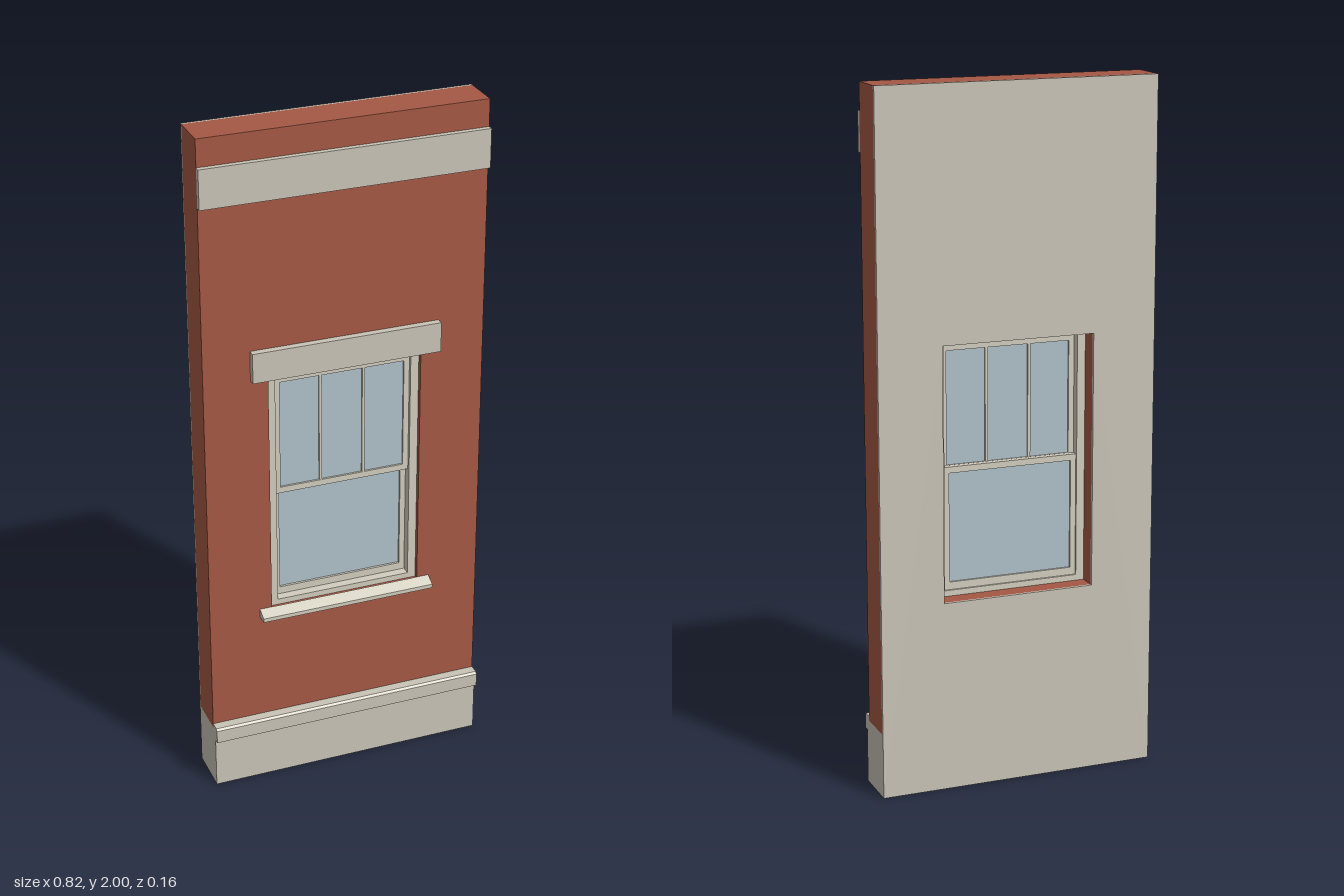
import * as THREE from 'three';

const mat = (name, color) => {
  const m = new THREE.MeshStandardMaterial({ color });
  m.name = name;
  return m;
};

export function createModel() {
  const model = new THREE.Group();
  model.name = 'wallPanelWithWindow';
  const brick = mat('brick red', 0xa55845);
  const stone = mat('limestone', 0xc9c4b7);
  const paint = mat('window paint', 0xd2cdbe);
  const glass = mat('glass', 0xafc0c9);

  const add = (parent, name, geometry, material) => {
    const mesh = new THREE.Mesh(geometry, material);
    mesh.name = name;
    parent.add(mesh);
    return mesh;
  };

  // Box given by its limits on each axis
  const box = (parent, name, material, [x0, x1], [y0, y1], [z0, z1]) => {
    const g = new THREE.BoxGeometry(x1 - x0, y1 - y0, z1 - z0);
    g.translate((x0 + x1) / 2, (y0 + y1) / 2, (z0 + z1) / 2);
    return add(parent, name, g, material);
  };

  const corners = (x0, x1, y0, y1) => [[x0, y0], [x1, y0], [x1, y1], [x0, y1]]
    .map(([x, y]) => new THREE.Vector2(x, y));

  // Rectangular slab with a rectangular opening
  const ring = (parent, name, material, outer, inner, [z0, z1]) => {
    const shape = new THREE.Shape(corners(...outer));
    shape.holes.push(new THREE.Path(corners(...inner).reverse()));
    const g = new THREE.ExtrudeGeometry(shape, { depth: z1 - z0, bevelEnabled: false });
    g.translate(0, 0, z0);
    return add(parent, name, g, material);
  };

  // Side profile of [z, y] points swept along x
  const molding = (parent, name, material, halfWidth, profile) => {
    const shape = new THREE.Shape(profile.map(([z, y]) => new THREE.Vector2(-z, y)));
    const g = new THREE.ExtrudeGeometry(shape, { depth: halfWidth * 2, bevelEnabled: false });
    g.translate(0, 0, -halfWidth);
    g.rotateY(Math.PI / 2);
    // the shape's x axis now runs along -z, so the profile lands on its own z
    return add(parent, name, g, material);
  };

  const W = 0.41;
  const opening = [-0.224, 0.224, 0.555, 1.29];

  // Wall layers
  ring(model, 'brickWall', brick, [-W, W, 0.19, 2], opening, [-0.07, 0.044]);
  ring(model, 'innerLining', stone, [-W, W, 0, 2], opening, [-0.078, -0.07]);

  // Stone base, water table and band
  box(model, 'stoneBase', stone, [-W, W], [0, 0.19], [-0.07, 0.062]);
  molding(model, 'waterTable', stone, W,
    [[0.044, 0.157], [0.078, 0.157], [0.078, 0.197], [0.072, 0.203], [0.044, 0.203]]);
  box(model, 'stoneBand', stone, [-W, W], [1.81, 1.922], [0.044, 0.06]);

  // Lintel and sill
  box(model, 'lintel', stone, [-0.275, 0.275], [1.29, 1.378], [0.044, 0.065]);
  molding(model, 'sill', paint, 0.26,
    [[0.044, 0.533], [0.075, 0.533], [0.075, 0.545], [0.044, 0.56]]);

  // Window set in the opening
  const win = new THREE.Group();
  win.name = 'window';
  model.add(win);
  ring(win, 'frame', paint, opening, [-0.2, 0.2, 0.572, 1.277], [-0.02, 0.03]);

  // Upper sash in front, lower sash behind
  ring(win, 'upperSash', paint, [-0.2, 0.2, 0.912, 1.277], [-0.184, 0.184, 0.93, 1.257], [0.004, 0.02]);
  ring(win, 'lowerSash', paint, [-0.2, 0.2, 0.572, 0.93], [-0.184, 0.184, 0.594, 0.912], [-0.014, 0.003]);
  box(win, 'upperGlass', glass, [-0.185, 0.185], [0.929, 1.258], [0.01, 0.014]);
  box(win, 'lowerGlass', glass, [-0.185, 0.185], [0.593, 0.913], [-0.008, -0.004]);
  for (const x of [-0.064, 0.064]) {
    box(win, 'muntin', paint, [x - 0.004, x + 0.004], [0.93, 1.257], [0.005, 0.019]);
  }

  return model;
}
